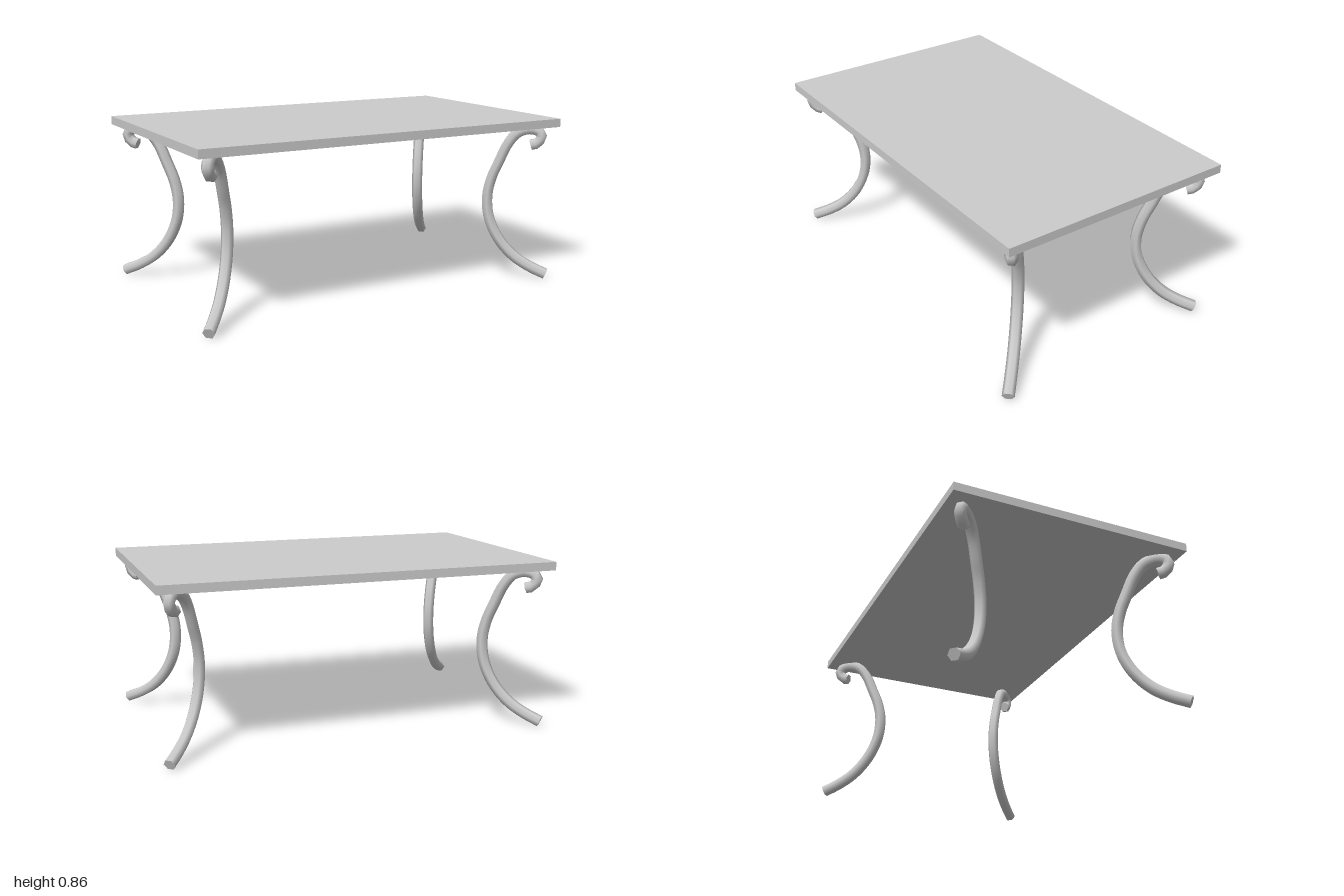
import * as THREE from 'three';

const material = new THREE.MeshStandardMaterial({ color: 0xcccccc });
const SIDES = 6, STEPS = 44, RADIUS = 0.03;

// Leg centre line in its own plane: x points out to the table corner, y up
const legCurve = new THREE.CatmullRomCurve3([
  [0.217, 0.727], [0.25, 0.737], [0.272, 0.775], [0.255, 0.8], [0.21, 0.81],
  [0.15, 0.79], [0.1, 0.73], [0.055, 0.63], [0.02, 0.545], [0, 0.45],
  [0.006, 0.35], [0.035, 0.265], [0.085, 0.185], [0.155, 0.116], [0.235, 0.068], [0.32, 0.032],
].map(([x, y]) => new THREE.Vector3(x, y, 0)));

// Flat cap that closes one ring of the tube
function capGeometry(tube, ring, flip) {
  const pos = tube.attributes.position, points = [], index = [];
  for (let j = 0; j < SIDES; j++) {
    points.push(new THREE.Vector3().fromBufferAttribute(pos, ring * (SIDES + 1) + j));
    if (j > 1) index.push(0, flip ? j : j - 1, flip ? j - 1 : j);
  }
  const geometry = new THREE.BufferGeometry().setFromPoints(points);
  geometry.setIndex(index);
  geometry.computeVertexNormals();
  return geometry;
}

function addMesh(parent, geometry, name) {
  const mesh = new THREE.Mesh(geometry, material);
  mesh.name = name;
  parent.add(mesh);
  return mesh;
}

export function createModel() {
  const model = new THREE.Group();
  model.name = 'table';

  // Table top
  addMesh(model, new THREE.BoxGeometry(2, 0.043, 1.232), 'tableTop').position.y = 0.8465;

  // Four curled legs, opposite corners are half-turn copies
  const tube = new THREE.TubeGeometry(legCurve, STEPS, RADIUS, SIDES, false);
  const curlCap = capGeometry(tube, 0, false);
  const footCap = capGeometry(tube, STEPS, true);
  const legs = [
    ['frontLeftLeg', 0.735, 0.368, -43.5],
    ['backRightLeg', -0.735, -0.368, 136.5],
    ['backLeftLeg', 0.76, -0.342, 50.5],
    ['frontRightLeg', -0.76, 0.342, 230.5],
  ];
  for (const [name, x, z, degrees] of legs) {
    const leg = new THREE.Group();
    leg.name = name;
    addMesh(leg, tube, 'legTube');
    addMesh(leg, curlCap, 'curlEnd');
    addMesh(leg, footCap, 'footEnd');
    leg.position.set(x, 0, z);
    leg.rotation.y = THREE.MathUtils.degToRad(degrees);
    model.add(leg);
  }
  return model;
}
